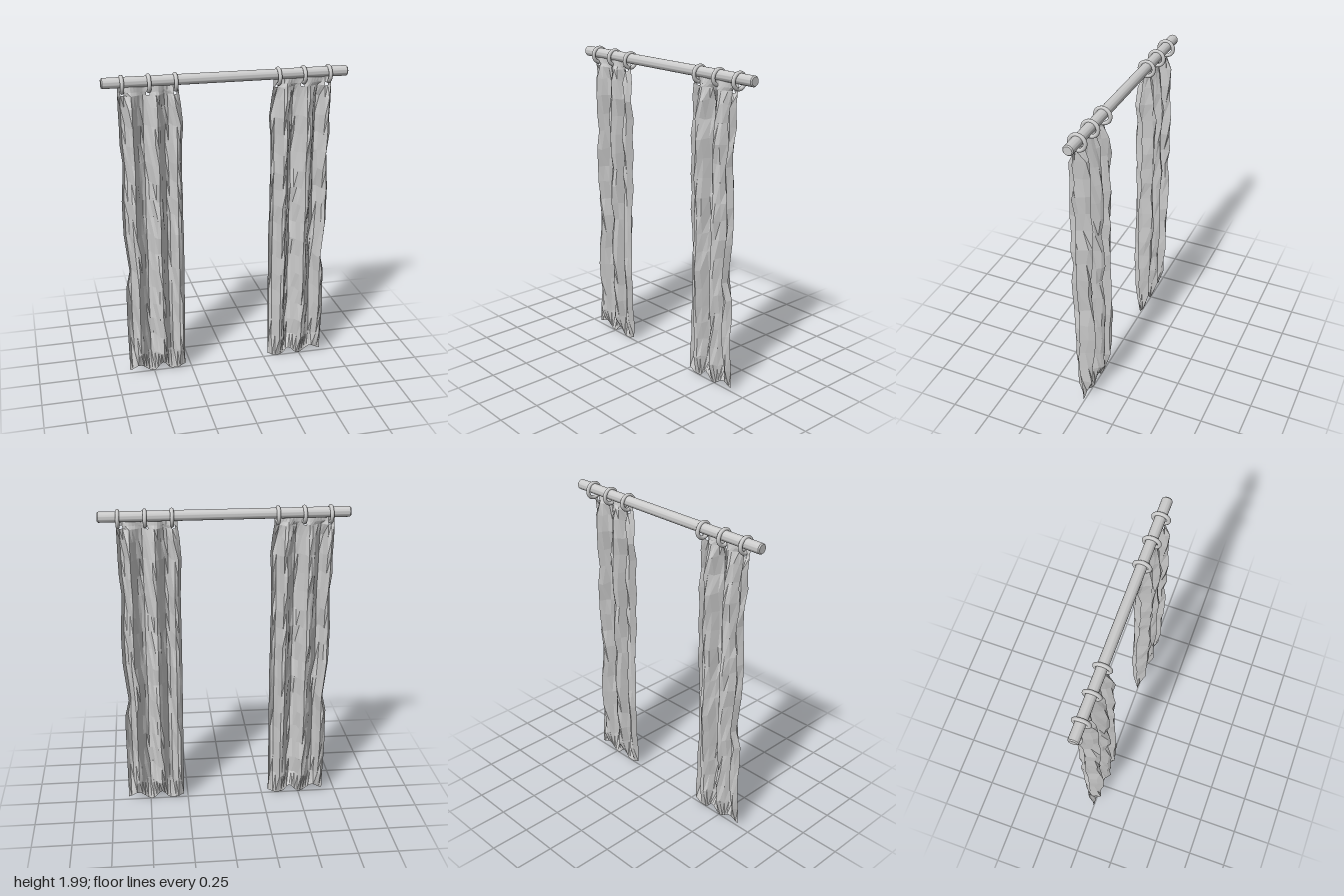
import * as THREE from 'three';
import { toCreasedNormals } from 'three/addons/utils/BufferGeometryUtils.js';

const mat = new THREE.MeshStandardMaterial({ color: 0xcccccc });
const clothMat = new THREE.MeshStandardMaterial({ color: 0xcccccc, flatShading: true, side: THREE.DoubleSide });

// Seeded noise in -1..1 for the crumpled cloth
function makeRandom(seed) {
  let s = seed;
  return () => {
    s = (s * 16807) % 2147483647;
    return (s / 2147483647) * 2 - 1;
  };
}

// Smooth interpolation through [position, value] pairs
function sample(table, t) {
  let i = 0;
  while (i < table.length - 2 && t > table[i + 1][0]) i++;
  const [t0, v0] = table[i], [t1, v1] = table[i + 1];
  return v0 + (v1 - v0) * THREE.MathUtils.smoothstep(t, t0, t1);
}

const RINGS = [-0.637, -0.477, -0.317];
const LEFT = -0.662, WIDTH = 0.375, COLS = 20;
const ROWS = [1.93, 1.895, 1.875, 1.8, 1.69, 1.57, 1.45, 1.33, 1.21, 1.1, 0.98, 0.86, 0.74, 0.62, 0.5, 0.39, 0.27, 0.15, 0];

// Across the sheet: depth of the pleats and height of the hem
const PLEATS = [[0, -0.015], [0.07, -0.055], [0.19, 0.05], [0.38, -0.043], [0.6, 0.052], [0.78, -0.052], [0.92, 0.055], [1, 0.005]];
const HEM = [[0, 0.033], [0.18, 0.058], [0.42, 0.01], [0.6, 0.062], [0.74, 0.014], [0.86, 0.013], [1, 0.036]];
// Down the sheet: how far the pleats open, and the two side edges
const OPENING = [[0, 0], [0.15, 0.85], [0.45, 1], [1.65, 1], [1.8, 0.8], [1.93, 0.1]];
const OUTER = [[0, 0], [0.6, -0.002], [0.76, 0.028], [0.95, 0], [1.2, -0.003], [1.45, 0.013], [1.6, 0], [1.93, -0.002]];
const INNER = [[0, -0.005], [1.2, 0], [1.45, -0.001], [1.7, 0.008], [1.93, -0.013]];

// One curtain: a pleated sheet, pinched flat at the top and the hem
function curtainGeometry() {
  const rand = makeRandom(71);
  const pos = [], index = [];
  const last = ROWS.length - 1;
  ROWS.forEach((rowY, r) => {
    const opening = sample(OPENING, rowY);
    const drift = 0.018 * rand();
    for (let c = 0; c <= COLS; c++) {
      const u = c / COLS;
      const x = LEFT + WIDTH * u + sample(OUTER, rowY) * (1 - u) ** 4 + sample(INNER, rowY) * u ** 4;
      const z = opening * (sample(PLEATS, u + drift) + 0.014 * rand());
      let y = rowY;
      if (r === last) y = sample(HEM, u);
      else if (r > 2) y += 0.008 * rand();
      pos.push(x, y, z);
    }
  });
  // Quads, leaving an eyelet open under each ring
  const eyelets = RINGS.map((x) => Math.floor(((x - LEFT) / WIDTH) * COLS));
  for (let r = 0; r < last; r++) {
    for (let c = 0; c < COLS; c++) {
      if (r === 1 && eyelets.includes(c)) continue;
      const a = r * (COLS + 1) + c, b = a + COLS + 1;
      index.push(a, b, b + 1, a, b + 1, a + 1);
    }
  }
  const g = new THREE.BufferGeometry();
  g.setAttribute('position', new THREE.Float32BufferAttribute(pos, 3));
  g.setIndex(index);
  g.computeVertexNormals();
  return g;
}

export function createModel() {
  const model = new THREE.Group();
  const add = (name, geometry, material) => {
    const mesh = new THREE.Mesh(geometry, material);
    mesh.name = name;
    model.add(mesh);
    return mesh;
  };

  // Rod with slightly bevelled ends
  const profile = [[0, -0.757], [0.026, -0.757], [0.032, -0.75], [0.032, 0.75], [0.026, 0.757], [0, 0.757]];
  const rodGeo = new THREE.LatheGeometry(profile.map((p) => new THREE.Vector2(...p)), 32);
  const rod = add('rod', toCreasedNormals(rodGeo, 0.6), mat);
  rod.rotation.z = Math.PI / 2;
  rod.position.set(0, 1.955, -0.015);

  // Rings hanging on the rod
  const ringGeo = new THREE.TorusGeometry(0.046, 0.012, 12, 36);
  for (const side of [-1, 1]) {
    RINGS.forEach((x, i) => {
      const ring = add(`${side < 0 ? 'right' : 'left'}Ring${i + 1}`, ringGeo, mat);
      ring.rotation.y = Math.PI / 2;
      ring.position.set(-side * x, 1.942, -0.013);
    });
  }

  // Two curtains, the second turned half round
  const cloth = curtainGeometry();
  add('rightCurtain', cloth, clothMat);
  const left = add('leftCurtain', cloth, clothMat);
  left.rotation.y = Math.PI;
  left.position.x = -0.015;

  return model;
}
